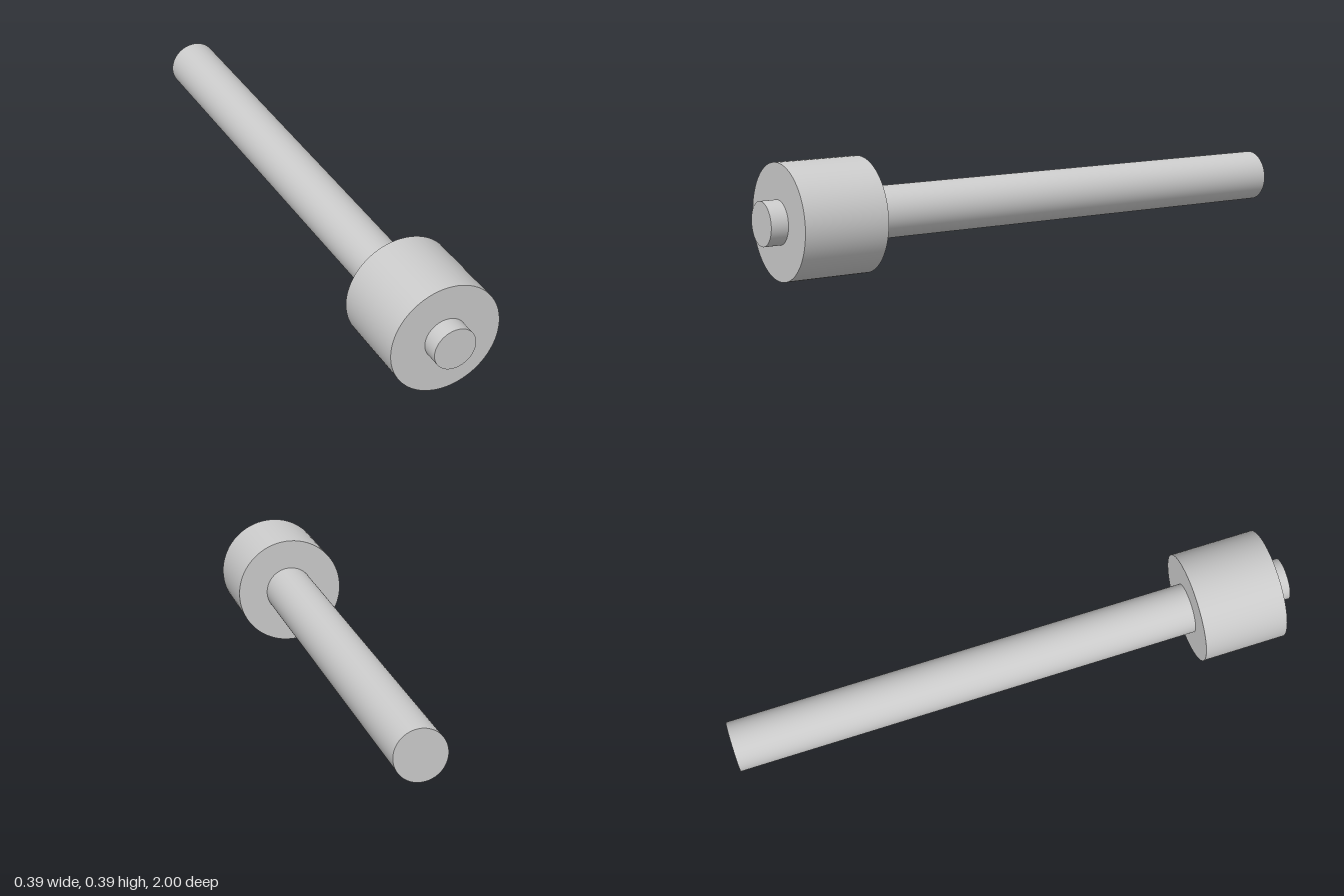
import * as THREE from 'three';

const HEAD_RADIUS = 0.194;

export function createModel() {
  const model = new THREE.Group();
  const material = new THREE.MeshStandardMaterial({ color: 0xcccccc });

  // Solid round section lying along z, between two z positions
  const addRound = (name, radius, zBack, zFront) => {
    const geometry = new THREE.CylinderGeometry(radius, radius, zFront - zBack, 72);
    geometry.rotateX(Math.PI / 2);
    const mesh = new THREE.Mesh(geometry, material);
    mesh.name = name;
    mesh.position.set(0, HEAD_RADIUS, (zBack + zFront) / 2);
    model.add(mesh);
  };

  addRound('shaft', 0.088, -1, 0.643);
  addRound('head', HEAD_RADIUS, 0.643, 0.94);
  addRound('frontStub', 0.074, 0.94, 1);

  return model;
}
